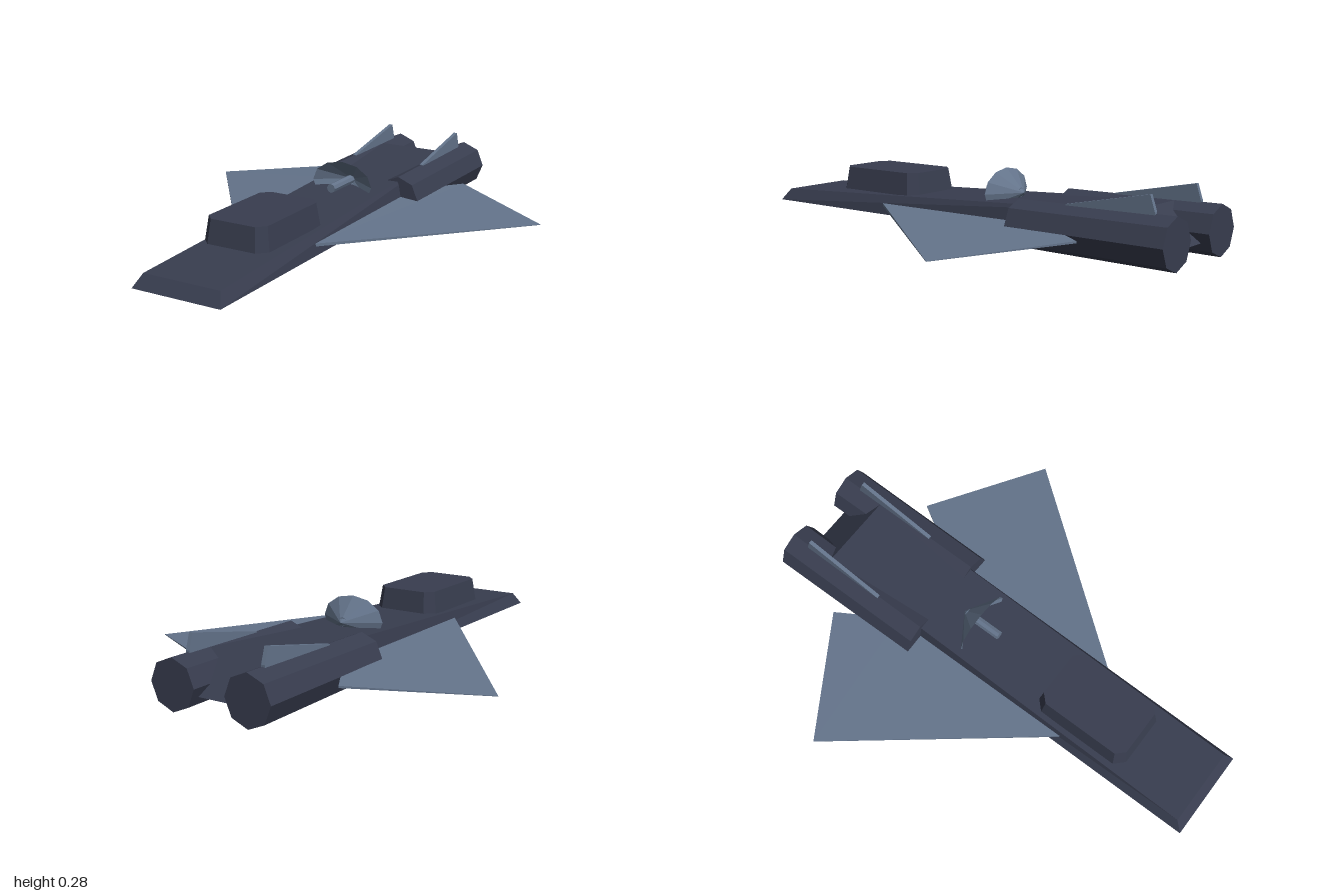
import * as THREE from 'three';

const hullPaint = new THREE.MeshStandardMaterial({ color: 0x383d4f, flatShading: true, side: THREE.DoubleSide });
hullPaint.name = 'dark hull';
const wingPaint = new THREE.MeshStandardMaterial({ color: 0x64748b, flatShading: true, side: THREE.DoubleSide });
wingPaint.name = 'slate blue';

// Flat-shaded solid between two rings [x, y, z], counter-clockwise seen from above
function loft(bottom, top, capBottom = true) {
  const p = [];
  const tri = (a, b, c) => p.push(...a, ...b, ...c);
  const n = bottom.length;
  for (let i = 0; i < n; i++) {
    const j = (i + 1) % n;
    tri(bottom[i], bottom[j], top[j]);
    tri(bottom[i], top[j], top[i]);
  }
  for (let i = 1; i < n - 1; i++) {
    tri(top[0], top[i], top[i + 1]);
    if (capBottom) tri(bottom[0], bottom[i + 1], bottom[i]);
  }
  const g = new THREE.BufferGeometry();
  g.setAttribute('position', new THREE.Float32BufferAttribute(p, 3));
  g.computeVertexNormals();
  return g;
}

// Rectangle with chamfered corners, lying flat
function chamferedRing(hx, z0, z1, c, y) {
  return [
    [hx, y, z1 - c], [hx, y, z0 + c], [hx - c, y, z0], [c - hx, y, z0],
    [-hx, y, z0 + c], [-hx, y, z1 - c], [c - hx, y, z1], [hx - c, y, z1],
  ];
}

export function createModel() {
  const model = new THREE.Group();
  const add = (name, geometry, material) => {
    const mesh = new THREE.Mesh(geometry, material);
    mesh.name = name;
    model.add(mesh);
    return mesh;
  };

  // Long wedge hull, open underneath
  add('hull', loft(
    [[0.19, 0.06, 1], [0.19, 0.06, -0.96], [-0.19, 0.06, -0.96], [-0.19, 0.06, 1]],
    [[0.165, 0.11, 0.963], [0.165, 0.195, -0.805], [-0.165, 0.195, -0.805], [-0.165, 0.11, 0.963]],
    false), hullPaint);

  // Raised cabin
  add('cabin', loft(
    chamferedRing(0.143, 0.24, 0.67, 0.038, 0.14),
    chamferedRing(0.13, 0.255, 0.655, 0.033, 0.234)), hullPaint);

  // Open dish facing forward, with its feed rod
  const dish = new THREE.ConeGeometry(1, 1, 12, 1, true);
  dish.rotateX(-Math.PI / 2).scale(0.14, 0.094, 0.09).translate(0, 0.186, -0.177);
  add('dish', dish, wingPaint);
  const rod = new THREE.CylinderGeometry(0.019, 0.019, 0.165, 8);
  rod.rotateX(Math.PI / 2).translate(0, 0.187, -0.125);
  add('dishRod', rod, wingPaint);

  // Upright tail fin profile: x is distance backward, y is up
  const finShape = new THREE.Shape();
  finShape.moveTo(0.54, 0.185);
  finShape.lineTo(0.915, 0.185);
  finShape.lineTo(0.915, 0.205);
  finShape.lineTo(0.895, 0.267);
  finShape.lineTo(0.54, 0.196);

  for (const s of [1, -1]) {
    const side = s > 0 ? 'left' : 'right';

    // Tapered eight-sided engine
    const engine = new THREE.CylinderGeometry(0.093, 0.1, 0.68, 8);
    engine.rotateX(Math.PI / 2).translate(s * 0.168, 0.1, -0.66);
    add(side + 'Engine', engine, hullPaint);

    // Thin drooping wing, thickest at the root
    const wing = [
      [0.17, 0.1, 0.395, 0.006], [0.785, 0.064, -0.39, 0.001],
      [0.312, 0.092, -0.68, 0.004], [0.17, 0.1, -0.44, 0.008],
    ];
    const ring = (d) => {
      const r = wing.map(([x, y, z, t]) => [s * x, y + d * t, z]);
      return s > 0 ? r : r.reverse();
    };
    add(side + 'Wing', loft(ring(-1), ring(1)), wingPaint);

    // Fin on top of the engine
    const fin = new THREE.ExtrudeGeometry(finShape, { depth: 0.016, bevelEnabled: false });
    fin.translate(0, 0, -0.008).rotateY(Math.PI / 2).translate(s * 0.169, 0, 0);
    add(side + 'Fin', fin, wingPaint);
  }
  return model;
}
